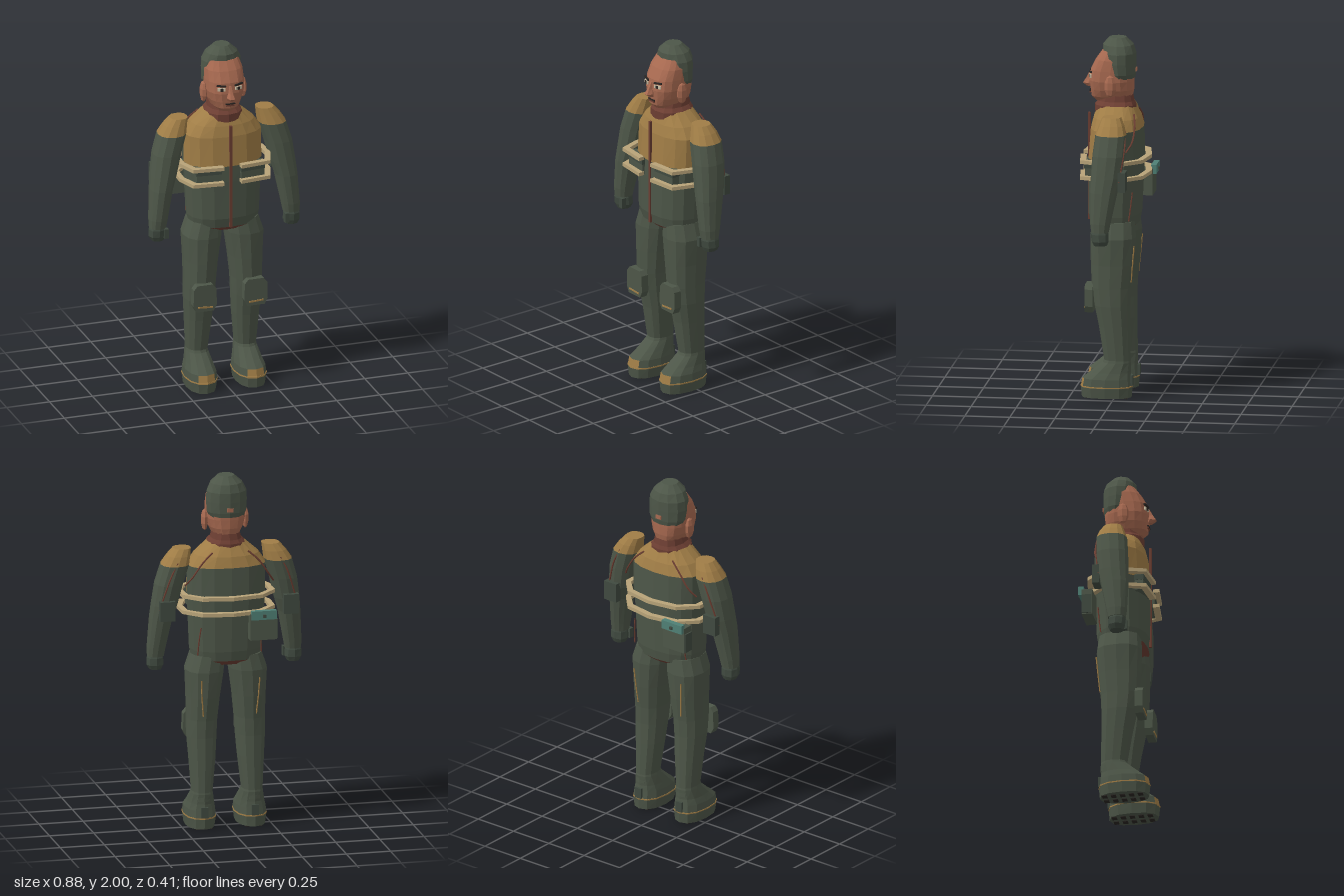
import * as THREE from 'three';

const paint = (name, color) => {
  const m = new THREE.MeshStandardMaterial({ color, flatShading: true });
  m.name = name;
  return m;
};

export function createModel() {
  const root = new THREE.Group();
  root.name = 'soldierFigure';
  const green = paint('uniform green', 0x4d5648);
  const dark = paint('dark green', 0x404a40);
  const tan = paint('tan cloth', 0xa07d46);
  const webbing = paint('webbing beige', 0xb8a378);
  const skin = paint('skin', 0xa76950);
  const rust = paint('rust brown', 0x6c3e32);
  const teal = paint('teal', 0x4f8075);
  const white = paint('eye white', 0xcbbfa4);
  const black = paint('near black', 0x2a2522);

  const add = (name, geo, mat, x = 0, y = 0, z = 0, rx = 0, ry = 0, rz = 0) => {
    const m = new THREE.Mesh(geo, mat);
    m.name = name;
    m.position.set(x, y, z);
    m.rotation.set(rx, ry, rz);
    root.add(m);
    return m;
  };
  const box = (name, mat, w, h, d, ...place) => add(name, new THREE.BoxGeometry(w, h, d), mat, ...place);
  const cord = (name, mat, pts, r = 0.005) => add(name, new THREE.TubeGeometry(
    new THREE.CatmullRomCurve3(pts.map(p => new THREE.Vector3(...p))), 10, r, 5), mat);

  // Closed body through rings [y, x0, x1, zBack, zFront], lowest first; pick() chooses a colour per face
  const loft = (name, rings, mats, { n = 12, e = 0.85, side = 1, pick = () => 0 } = {}) => {
    const list = [].concat(mats);
    const buckets = list.map(() => []);
    const point = (i, j) => {
      const [y, x0, x1, z0, z1] = rings[i];
      const a = (j % n) / n * Math.PI * 2;
      const sq = v => Math.abs(v) < 1e-6 ? 0 : Math.sign(v) * Math.abs(v) ** e;
      return [side * (x0 + x1) / 2 + (x1 - x0) / 2 * sq(Math.cos(a)), y,
        (z0 + z1) / 2 + (z1 - z0) / 2 * sq(Math.sin(a))];
    };
    const mid = i => [side * (rings[i][1] + rings[i][2]) / 2, rings[i][0], (rings[i][3] + rings[i][4]) / 2];
    const top = rings.length - 1;
    for (let j = 0; j < n; j++) {
      const s = Math.sin((j + 0.5) / n * Math.PI * 2);
      for (let i = 0; i < top; i++) {
        const a = point(i, j), b = point(i, j + 1), c = point(i + 1, j), d = point(i + 1, j + 1);
        buckets[pick(i, s)].push(...a, ...c, ...b, ...b, ...c, ...d);
      }
      buckets[pick(0, s)].push(...mid(0), ...point(0, j), ...point(0, j + 1));
      buckets[pick(top - 1, s)].push(...mid(top), ...point(top, j + 1), ...point(top, j));
    }
    const geo = new THREE.BufferGeometry();
    geo.setAttribute('position', new THREE.Float32BufferAttribute(buckets.flat(), 3));
    let start = 0;
    buckets.forEach((b, k) => { geo.addGroup(start, b.length / 3, k); start += b.length / 3; });
    geo.computeVertexNormals();
    return add(name, geo, list);
  };
  // Same, for bodies symmetric about x = 0: rings [y, halfWidth, zBack, zFront]
  const body = (name, rings, mats, o) => loft(name, rings.map(([y, w, b, f]) => [y, -w, w, b, f]), mats, o);

  // Jacket: tan chest in front, tan yoke behind, rust hem
  body('jacket', [
    [0.935, 0.15, -0.08, 0.11], [0.965, 0.195, -0.12, 0.15], [1.02, 0.205, -0.13, 0.163],
    [1.24, 0.215, -0.14, 0.165], [1.33, 0.222, -0.145, 0.163], [1.5, 0.222, -0.14, 0.15],
    [1.56, 0.18, -0.125, 0.135], [1.625, 0.105, -0.09, 0.11],
  ], [green, tan, rust], { n: 16, pick: (i, s) => i === 0 ? 2 : i >= 5 || (i === 4 && s > 0) ? 1 : 0 });
  box('zip', rust, 0.014, 0.6, 0.014, 0, 1.27, 0.162);
  body('collar', [[1.58, 0.11, -0.1, 0.13], [1.625, 0.105, -0.1, 0.13], [1.645, 0.085, -0.09, 0.11],
    [1.69, 0.075, -0.08, 0.095]], rust);

  // Head and face
  body('head', [
    [1.645, 0.05, -0.06, 0.125], [1.67, 0.075, -0.08, 0.15], [1.71, 0.095, -0.088, 0.155],
    [1.76, 0.108, -0.09, 0.16], [1.82, 0.108, -0.09, 0.152], [1.88, 0.106, -0.085, 0.122],
    [1.93, 0.09, -0.07, 0.085],
  ], skin, { n: 16, e: 0.8 });
  body('nose', [[1.72, 0.018, 0.13, 0.175], [1.738, 0.024, 0.13, 0.2], [1.765, 0.013, 0.13, 0.182],
    [1.805, 0.009, 0.13, 0.16]], skin, { n: 6 });
  box('mouth', black, 0.055, 0.007, 0.008, 0, 1.699, 0.154);
  box('lowerLip', rust, 0.045, 0.009, 0.008, 0, 1.69, 0.153);
  body('cap', [
    [1.775, 0.1, -0.093, 0.06], [1.8, 0.112, -0.098, 0.072], [1.86, 0.116, -0.1, 0.085],
    [1.915, 0.113, -0.1, 0.088], [1.96, 0.09, -0.086, 0.085], [1.99, 0.056, -0.055, 0.06],
    [2.0, 0.046, -0.045, 0.05],
  ], green, { e: 1 });
  box('capGap', skin, 0.035, 0.022, 0.006, 0, 1.82, -0.099);

  // Chest rig: two straps open at the front
  const outer = [[0.05, 0.203], [0.225, 0.183], [0.265, 0.06], [0.262, -0.06], [0.17, -0.158], [0, -0.187]];
  const inner = [[0.05, 0.168], [0.2, 0.152], [0.235, 0.055], [0.23, -0.055], [0.155, -0.128], [0, -0.153]];
  const flip = pts => pts.slice(0, -1).reverse().map(([x, z]) => [-x, z]);
  const loop = [...outer, ...flip(outer), ...[...inner, ...flip(inner)].reverse()];
  const strapShape = new THREE.Shape(loop.map(([x, z]) => new THREE.Vector2(x, -z)));
  for (const [name, y] of [['upperStrap', 1.325], ['lowerStrap', 1.235]]) {
    add(name, new THREE.ExtrudeGeometry(strapShape, { depth: 0.02, bevelEnabled: false }),
      webbing, 0, y, 0, -Math.PI / 2);
  }

  // Hip pouch on the right of the back
  box('hipPouch', green, 0.15, 0.15, 0.06, -0.17, 1.165, -0.147);
  box('hipPouchSide', dark, 0.02, 0.11, 0.055, -0.243, 1.15, -0.148);
  box('hipPouchFlap', teal, 0.14, 0.05, 0.03, -0.17, 1.235, -0.181);
  box('hipPouchButton', dark, 0.016, 0.016, 0.012, -0.17, 1.232, -0.2);

  // Knee pad outline
  const padShape = new THREE.Shape([[-0.05, -0.075], [0.05, -0.075], [0.068, -0.04], [0.065, 0.055],
    [0.045, 0.08], [-0.045, 0.08], [-0.065, 0.055], [-0.068, -0.04]].map(p => new THREE.Vector2(...p)));
  const padGeo = new THREE.ExtrudeGeometry(padShape, { depth: 0.045, bevelEnabled: false });

  for (const side of [1, -1]) {
    const tag = side > 0 ? 'left' : 'right';
    const pts = list => list.map(([x, y, z]) => [side * x, y, z]);

    // Face details
    add(tag + 'Ear', new THREE.SphereGeometry(1, 7, 5), skin, side * 0.115, 1.742, 0.03).scale.set(0.02, 0.062, 0.034);
    box(tag + 'Eye', white, 0.042, 0.018, 0.008, side * 0.05, 1.787, 0.15, 0, side * 0.3);
    box(tag + 'Pupil', black, 0.015, 0.017, 0.008, side * 0.049, 1.787, 0.153, 0, side * 0.3);
    box(tag + 'Brow', black, 0.052, 0.009, 0.009, side * 0.05, 1.808, 0.149, 0, side * 0.3, side * 0.1);

    // Arm with tan shoulder, hand, elbow pad and cords
    loft(tag + 'Arm', [
      [0.98, 0.342, 0.436, 0, 0.098], [1.03, 0.333, 0.437, -0.01, 0.105], [1.2, 0.3, 0.426, -0.045, 0.11],
      [1.28, 0.275, 0.418, -0.065, 0.106], [1.4, 0.245, 0.402, -0.08, 0.1], [1.51, 0.212, 0.37, -0.085, 0.088],
      [1.56, 0.205, 0.336, -0.07, 0.07], [1.6, 0.2, 0.3, -0.05, 0.055],
    ], [green, tan], { side, pick: i => i >= 5 ? 1 : 0 });
    loft(tag + 'Hand', [[0.905, 0.355, 0.425, 0.01, 0.085], [0.93, 0.342, 0.44, 0, 0.095],
      [0.97, 0.345, 0.438, 0, 0.1], [1.0, 0.355, 0.425, 0.01, 0.09]], dark, { n: 8, side });
    box(tag + 'Thumb', dark, 0.025, 0.055, 0.03, side * 0.352, 0.95, 0.085);
    box(tag + 'ElbowPad', dark, 0.085, 0.11, 0.04, side * 0.35, 1.26, -0.07);
    cord(tag + 'ArmCord', rust, pts([[0.29, 1.53, -0.075], [0.33, 1.45, -0.08], [0.36, 1.36, -0.07], [0.39, 1.26, -0.055]]));
    cord(tag + 'ShoulderCord', rust, pts([[0.1, 1.585, -0.1], [0.16, 1.53, -0.112], [0.215, 1.45, -0.105], [0.25, 1.4, -0.075]]));
    cord(tag + 'PocketSeam', rust, pts([[0.165, 1.16, -0.1], [0.175, 1.08, -0.092], [0.18, 1.0, -0.082]]), 0.004);

    // Front pouch between the straps
    box(tag + 'ChestPouch', green, 0.14, 0.095, 0.05, side * 0.125, 1.285, 0.142, 0, side * 0.1);
    box(tag + 'ChestPouchFlap', dark, 0.145, 0.03, 0.056, side * 0.125, 1.31, 0.142, 0, side * 0.1);

    // Trouser leg, knee pad and back seam
    loft(tag + 'Leg', [
      [0.16, 0.088, 0.198, -0.09, 0.065], [0.21, 0.083, 0.2, -0.088, 0.06], [0.4, 0.063, 0.212, -0.086, 0.09],
      [0.52, 0.055, 0.22, -0.085, 0.115], [0.62, 0.05, 0.22, -0.09, 0.13], [0.75, 0.037, 0.222, -0.105, 0.136],
      [0.9, 0.015, 0.23, -0.115, 0.14], [0.99, 0.012, 0.2, -0.105, 0.13],
    ], green, { side });
    add(tag + 'KneePad', padGeo, green, side * 0.148, 0.56, 0.115);
    box(tag + 'KneePadStripe', tan, 0.085, 0.009, 0.006, side * 0.148, 0.51, 0.161, 0, 0, side * 0.06);
    cord(tag + 'LegSeam', tan, pts([[0.165, 0.86, -0.11], [0.16, 0.76, -0.101], [0.15, 0.65, -0.091]]), 0.004);

    // Boot with tan toe, welt line, heel tab and sole lugs
    loft(tag + 'Boot', [
      [0.004, 0.065, 0.222, -0.093, 0.184], [0.06, 0.056, 0.23, -0.098, 0.19], [0.11, 0.06, 0.226, -0.092, 0.18],
      [0.145, 0.068, 0.215, -0.088, 0.135], [0.2, 0.08, 0.203, -0.09, 0.068], [0.225, 0.085, 0.198, -0.085, 0.055],
    ], [green, tan], { side, pick: (i, s) => i === 1 && s > 0.8 ? 1 : 0 });
    loft(tag + 'BootWelt', [[0.062, 0.054, 0.232, -0.1, 0.192], [0.069, 0.054, 0.232, -0.1, 0.191]], tan, { side });
    box(tag + 'HeelTab', dark, 0.04, 0.06, 0.014, side * 0.143, 0.1, -0.094);
    for (let r = 0; r < 5; r++) for (const c of [-1, 1]) {
      box(tag + 'SoleLug', black, 0.035, 0.006, 0.028, side * 0.143 + c * 0.03, 0.003, -0.06 + r * 0.05);
    }
  }
  return root;
}
